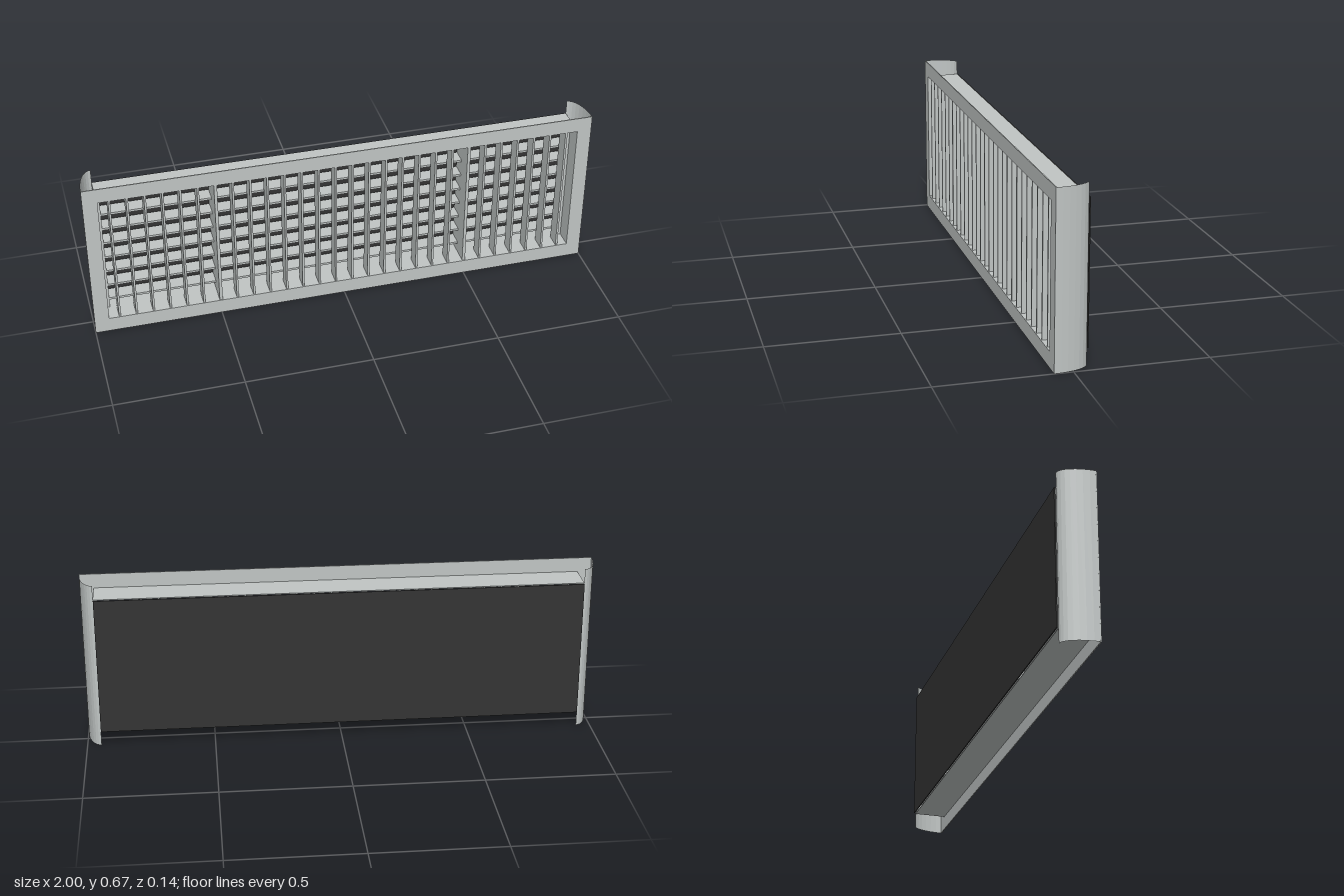
import * as THREE from 'three';

const W = 1, H = 0.667, IW = 0.943, Y0 = 0.06, Y1 = 0.607, FRONT = 0.07, BACK = -0.063;

export function createModel() {
  const model = new THREE.Group();
  model.name = 'ventilationGrille';
  const metal = new THREE.MeshStandardMaterial({ color: 0xc0c5c4 });
  metal.name = 'greyMetal';
  const sheet = new THREE.MeshStandardMaterial({ color: 0xc0c5c4, side: THREE.DoubleSide, flatShading: true });
  sheet.name = 'greySheet';
  const dark = new THREE.MeshStandardMaterial({ color: 0x333333 });
  dark.name = 'darkPanel';

  const add = (name, geometry, material) => {
    const mesh = new THREE.Mesh(geometry, material);
    mesh.name = name;
    model.add(mesh);
    return mesh;
  };
  const box = (name, w, h, d, x, y, z, material = metal) =>
    add(name, new THREE.BoxGeometry(w, h, d), material).position.set(x, y, z);

  const rect = (Type, x, y0, y1) => new Type([
    new THREE.Vector2(-x, y0), new THREE.Vector2(x, y0),
    new THREE.Vector2(x, y1), new THREE.Vector2(-x, y1),
  ]);
  // Rectangular ring extruded along z
  const ring = (name, x, y0, y1, hx, hy0, hy1, z0, z1) => {
    const shape = rect(THREE.Shape, x, y0, y1);
    shape.holes.push(rect(THREE.Path, hx, hy0, hy1));
    const g = new THREE.ExtrudeGeometry(shape, { depth: z1 - z0, bevelEnabled: false });
    g.translate(0, 0, z0);
    add(name, g, metal);
  };

  // Flat face frame and the sleeve behind its opening
  ring('faceFrame', W, 0, H, IW, Y0, Y1, FRONT - 0.004, FRONT);
  ring('sleeve', IW + 0.003, Y0 - 0.003, Y1 + 0.003, IW, Y0, Y1, BACK, FRONT - 0.004);

  // Curved side shells, open above and below
  const SEG = 8;
  for (const side of [-1, 1]) {
    const g = new THREE.PlaneGeometry(1, H, SEG, 1);
    const p = g.attributes.position;
    for (let i = 0; i < p.count; i++) {
      const a = (p.getX(i) + 0.5) * Math.PI / 2;
      p.setXYZ(i, side * (0.945 + 0.055 * Math.cos(a)), p.getY(i) + H / 2,
        FRONT - (FRONT - BACK) * Math.sin(a));
    }
    if (side < 0) g.index.array.reverse();
    g.computeVertexNormals();
    add(side > 0 ? 'leftShell' : 'rightShell', g, sheet);
    // Narrow strip that carries the ends of the blades
    box(side > 0 ? 'leftEndStrip' : 'rightEndStrip', 0.014, Y1 - Y0, 0.06,
      side * (IW - 0.007), (Y0 + Y1) / 2, -0.031);
  }

  const midY = (Y0 + Y1) / 2, pitch = 1 / 15;
  // Upright front blades
  for (let i = 0; i < 28; i++) {
    box('uprightBlade', 0.008, Y1 - Y0, 0.058, (i - 13.5) * pitch, midY, 0.037);
  }
  // Level blades behind them
  for (let i = 0; i < 8; i++) {
    box('levelBlade', 2 * IW - 0.02, 0.009, 0.058, 0, midY + (i - 3.5) * pitch, -0.03);
  }
  // Dividers between the three sections
  for (const x of [-0.5, 0.5]) {
    box('divider', 0.012, Y1 - Y0, 0.126, x, midY, 0.003);
  }

  // Dark closing panel at the rear
  box('rearPanel', 2 * 0.945, 0.547, 0.004, 0, midY, -0.068, dark);
  return model;
}
